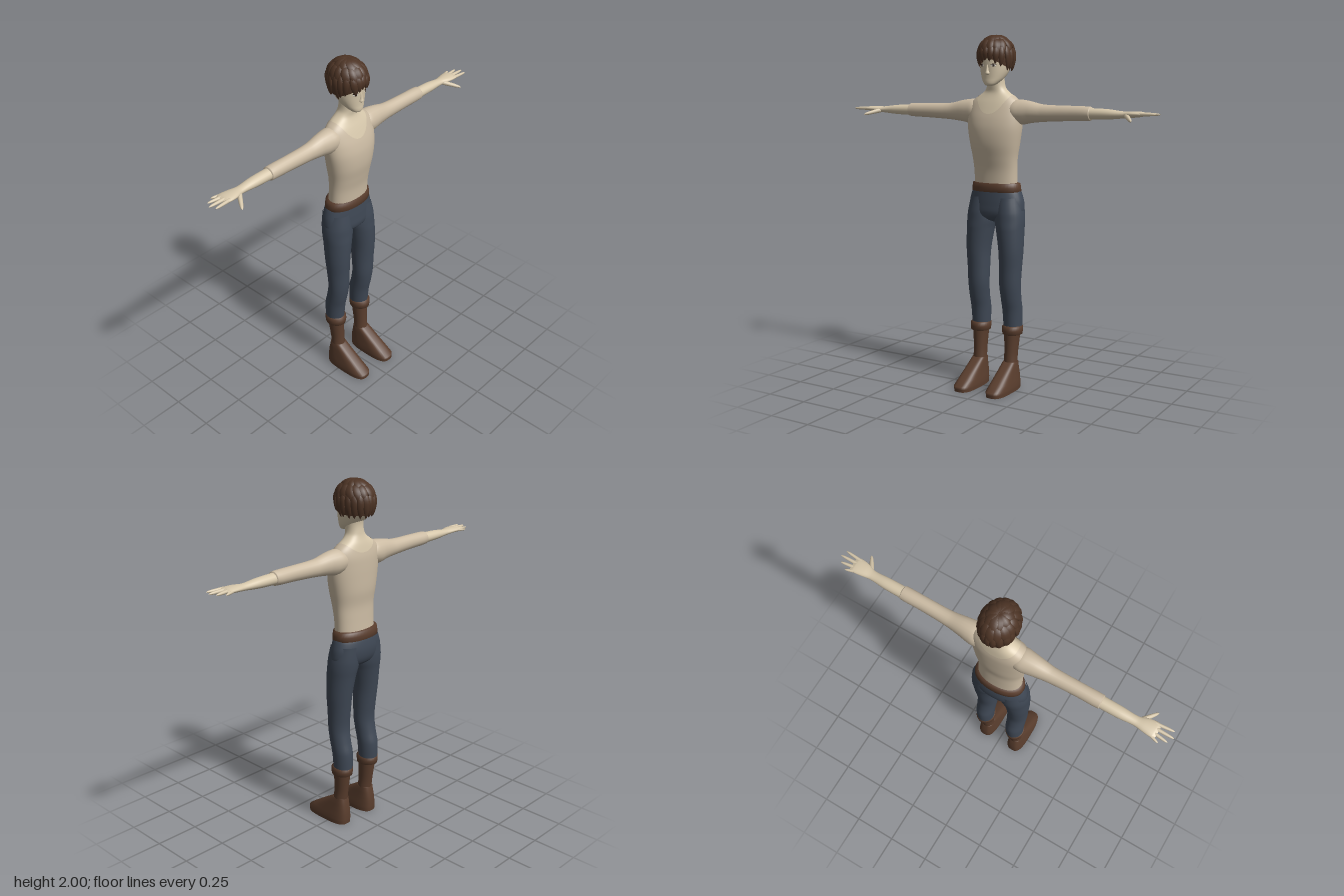
import * as THREE from 'three';

const paint = (name, color, side = THREE.FrontSide) => {
  const m = new THREE.MeshStandardMaterial({ color, side });
  m.name = name;
  return m;
};

// Grid surface, closed around u; fn(angle, v) returns [x, y, z]
function grid(fn, nu, nv, flip = false) {
  const pos = [], idx = [];
  for (let j = 0; j <= nv; j++)
    for (let i = 0; i < nu; i++) pos.push(...fn((i / nu) * Math.PI * 2, j / nv));
  for (let j = 0; j < nv; j++)
    for (let i = 0; i < nu; i++) {
      const a = j * nu + i, b = j * nu + ((i + 1) % nu), c = a + nu, d = b + nu;
      if (flip) idx.push(a, b, c, b, d, c);
      else idx.push(a, c, b, b, c, d);
    }
  const g = new THREE.BufferGeometry();
  g.setAttribute('position', new THREE.Float32BufferAttribute(pos, 3));
  g.setIndex(idx);
  g.computeVertexNormals();
  return g;
}

// Smooth (or straight) interpolation of rows keyed by their first column
function sample(rows, key, straight = false) {
  let i = 0;
  while (i < rows.length - 2 && key > rows[i + 1][0]) i++;
  const A = rows[i], B = rows[i + 1], h = B[0] - A[0];
  const t = Math.min(1, Math.max(0, (key - A[0]) / h));
  const P = rows[Math.max(0, i - 1)], N = rows[Math.min(rows.length - 1, i + 2)];
  return A.map((a, k) => {
    if (straight || k === 0) return a + (B[k] - a) * t;
    const m0 = ((B[k] - P[k]) / (B[0] - P[0])) * h, m1 = ((N[k] - a) / (N[0] - A[0])) * h;
    const t2 = t * t, t3 = t2 * t;
    return (2 * t3 - 3 * t2 + 1) * a + (t3 - 2 * t2 + t) * m0 + (3 * t2 - 2 * t3) * B[k] + (t3 - t2) * m1;
  });
}

const bend = (c, e) => Math.sign(c) * Math.abs(c) ** (2 / e);
// Row: height, centre x, centre z, half width, half depth
const ringPoint = ([y, cx, cz, rx, rz], u, e = 2, inset = 0) =>
  [cx + bend(Math.cos(u), e) * (rx - inset), y, cz + bend(Math.sin(u), e) * (rz - inset)];

const keyAt = (rows, v) => {
  const f = v * (rows.length - 1), i = Math.min(rows.length - 2, Math.floor(f));
  return rows[i][0] + (rows[i + 1][0] - rows[i][0]) * (f - i);
};
const loft = (rows, { e = 2, n = 28, straight = false, steps = 4 } = {}) =>
  grid((u, v) => ringPoint(sample(rows, keyAt(rows, v), straight), u, e), n, (rows.length - 1) * steps);

// Row: x, centre y, centre z, half height, half depth; s mirrors to the other side
const armLoft = (rows, s) => grid((u, v) => {
  const [x, y, z, ry, rz] = sample(rows, keyAt(rows, v));
  return [s * x, y + Math.cos(u) * ry, z - Math.sin(u) * rz];
}, 20, (rows.length - 1) * 4, s < 0);

function finger(from, to, r, s) {
  const a = new THREE.Vector3(...from), d = new THREE.Vector3(...to).sub(a);
  const w = d.clone().normalize(), p = new THREE.Vector3(0, 1, 0).cross(w).normalize();
  const q = w.clone().cross(p);
  return grid((u, v) => {
    const k = r * (1 - 0.35 * v) * Math.sqrt(1.0001 - v ** 6);
    const c = a.clone().addScaledVector(d, v).addScaledVector(p, k * Math.cos(u)).addScaledVector(q, k * Math.sin(u));
    return [s * c.x, c.y, c.z];
  }, 10, 10, s > 0);
}

const TORSO = [
  [1.16, 0, -0.06, 0.13, 0.074], [1.25, 0, -0.055, 0.131, 0.075], [1.32, 0, -0.048, 0.136, 0.081],
  [1.4, 0, -0.045, 0.15, 0.093], [1.48, 0, -0.045, 0.163, 0.095], [1.54, 0, -0.05, 0.167, 0.09],
  [1.59, 0, -0.057, 0.165, 0.081], [1.63, 0, -0.061, 0.15, 0.07], [1.66, 0, -0.064, 0.115, 0.06],
  [1.685, 0, -0.064, 0.078, 0.052], [1.71, 0, -0.06, 0.057, 0.05], [1.76, 0, -0.056, 0.05, 0.05],
  [1.82, 0, -0.065, 0.05, 0.052]];
const HEAD = [
  [1.717, 0, 0.012, 0.008, 0.006], [1.722, 0, 0.008, 0.026, 0.022], [1.735, 0, -0.003, 0.042, 0.038],
  [1.76, 0, -0.025, 0.061, 0.06], [1.8, 0, -0.045, 0.077, 0.082], [1.85, 0, -0.06, 0.086, 0.1],
  [1.91, 0, -0.06, 0.086, 0.1], [1.95, 0, -0.06, 0.065, 0.078], [1.975, 0, -0.06, 0.01, 0.01]];
const SLEEVE = [
  [0.08, 1.58, -0.06, 0.05, 0.055], [0.13, 1.578, -0.06, 0.066, 0.064], [0.17, 1.576, -0.06, 0.068, 0.06],
  [0.22, 1.577, -0.059, 0.06, 0.052], [0.3, 1.573, -0.058, 0.047, 0.042], [0.45, 1.575, -0.056, 0.041, 0.038],
  [0.578, 1.576, -0.056, 0.037, 0.038], [0.583, 1.576, -0.056, 0.03, 0.031]];
const FOREARM = [
  [0.56, 1.575, -0.056, 0.031, 0.033], [0.68, 1.575, -0.056, 0.027, 0.032], [0.77, 1.574, -0.054, 0.018, 0.027],
  [0.82, 1.577, -0.05, 0.017, 0.039], [0.87, 1.579, -0.05, 0.013, 0.044], [0.89, 1.579, -0.05, 0.006, 0.036]];
const HIPS = [
  [0.955, 0, -0.058, 0.01, 0.01], [0.97, 0, -0.058, 0.08, 0.05], [1.0, 0, -0.061, 0.158, 0.083],
  [1.06, 0, -0.068, 0.169, 0.092], [1.12, 0, -0.068, 0.155, 0.088], [1.16, 0, -0.064, 0.137, 0.08]];
const LEG = [
  [0.34, 0.104, -0.073, 0.052, 0.056], [0.45, 0.104, -0.068, 0.056, 0.062], [0.52, 0.104, -0.052, 0.058, 0.061],
  [0.6, 0.103, -0.04, 0.062, 0.06], [0.7, 0.104, -0.042, 0.065, 0.066], [0.8, 0.105, -0.045, 0.07, 0.075],
  [0.92, 0.096, -0.052, 0.08, 0.084], [0.97, 0.09, -0.058, 0.0865, 0.087], [1.02, 0.087, -0.062, 0.085, 0.088],
  [1.1, 0.08, -0.068, 0.076, 0.082]];
const BOOT_SHAFT = [
  [0.14, 0.102, -0.05, 0.04, 0.042], [0.2, 0.102, -0.056, 0.038, 0.043], [0.27, 0.103, -0.062, 0.042, 0.047],
  [0.33, 0.104, -0.066, 0.047, 0.051]];
const CUFF = [
  [0.312, 0.105, -0.066, 0.045, 0.05], [0.317, 0.105, -0.066, 0.056, 0.062], [0.34, 0.105, -0.066, 0.059, 0.065],
  [0.36, 0.105, -0.066, 0.058, 0.064], [0.366, 0.105, -0.066, 0.048, 0.052]];
const FOOT = [
  [0, 0.105, 0.037, 0.057, 0.145], [0.03, 0.105, 0.037, 0.058, 0.147], [0.085, 0.104, -0.003, 0.049, 0.104],
  [0.155, 0.102, -0.05, 0.039, 0.043], [0.16, 0.102, -0.05, 0.03, 0.035]];
const BELT = [
  [1.128, 0, -0.066, 0.138, 0.078], [1.132, 0, -0.066, 0.149, 0.088], [1.155, 0, -0.065, 0.148, 0.087],
  [1.178, 0, -0.064, 0.144, 0.085], [1.183, 0, -0.063, 0.128, 0.073]];

// Height of the scooped neckline at each angle round the torso
function neckline(u) {
  const base = Math.sin(u) > 0 ? 1.565 : 1.615;
  let lo = 1.5, hi = 1.69;
  for (let k = 0; k < 24; k++) {
    const y = (lo + hi) / 2, x = Math.abs(ringPoint(sample(TORSO, y), u, 2.2)[0]);
    if (y > base + (1.668 - base) * Math.min(1, x / 0.105) ** 2.2) hi = y;
    else lo = y;
  }
  return lo;
}

// Hair shell: angle a from the front, phi from the crown downwards
const hemAngle = (a) => Math.PI / 2 + 0.79 - 0.47 * Math.max(0, Math.cos(a)) ** 2;
function hairPoint(a, phi, k = 1) {
  const over = Math.max(0, phi - Math.PI / 2);
  const r = (over > 0 ? Math.cos(over * 0.6) : Math.sin(phi)) * k;
  const y = over > 0 ? -over : Math.cos(phi);
  return new THREE.Vector3(Math.sin(a) * r * 0.097, 1.885 + 0.107 * y * k, -0.06 + Math.cos(a) * r * 0.117);
}
function hairLock(a, p0, p1, width, twist) {
  return grid((u, v) => {
    const phi = p0 + (p1 - p0) * v, ang = a + twist * v;
    const full = Math.sin(Math.PI * (0.1 + 0.9 * v) ** 0.85) ** 0.7 || 0;
    const w = width * full, t = 0.011 * full;
    const out = new THREE.Vector3(Math.sin(ang) * Math.sin(phi), Math.max(0, Math.cos(phi)), Math.cos(ang) * Math.sin(phi)).normalize();
    return hairPoint(ang, phi).addScaledVector(out, Math.sin(u) * t - 0.003)
      .add(new THREE.Vector3(Math.cos(ang), 0, -Math.sin(ang)).multiplyScalar(Math.cos(u) * w)).toArray();
  }, 8, 10, true);
}

export function createModel() {
  const model = new THREE.Group();
  const skin = paint('skin', 0xd6c7ab), shirt = paint('shirt cloth', 0xcbbba3, THREE.DoubleSide);
  const trousers = paint('trouser cloth', 0x3f4855), leather = paint('leather', 0x593d2d);
  const hair = paint('hair', 0x4d3425, THREE.DoubleSide);
  const white = paint('eye white', 0xe6e0d6), dark = paint('eye dark', 0x2a1d17);
  const add = (name, geo, mat, parent = model) => {
    const m = new THREE.Mesh(geo, mat);
    m.name = name;
    parent.add(m);
    return m;
  };

  // Torso: shirt up to the neckline, skin above it
  add('shirtBody', grid((u, v) => ringPoint(sample(TORSO, 1.16 + (neckline(u) - 1.16) * v), u, 2.2), 64, 36), shirt);
  add('neckAndChest', grid((u, v) => {
    const y0 = neckline(u) - 0.015;
    return ringPoint(sample(TORSO, y0 + (1.82 - y0) * v), u, 2.2, 0.003);
  }, 64, 24), skin);

  // Head and face
  add('head', loft(HEAD, { e: 2.1, n: 36 }), skin);
  add('nose', loft([[1.778, 0, 0.036, 0.004, 0.004], [1.785, 0, 0.037, 0.013, 0.013],
    [1.8, 0, 0.036, 0.009, 0.011], [1.84, 0, 0.032, 0.005, 0.007]], { n: 12 }), skin);
  const plate = (name, x, y, w, h, lift, mat) => {
    const [, , cz, rx, rz] = sample(HEAD, y), c = x / rx;
    const m = add(name, new THREE.SphereGeometry(1, 14, 8), mat);
    m.scale.set(w, h, 0.003);
    m.position.set(x, y, cz + rz * Math.sqrt(1 - c * c) + lift);
    m.rotation.y = Math.atan2(c / rx, Math.sqrt(1 - c * c) / rz);
  };
  for (const s of [1, -1]) {
    plate('eyeWhite', s * 0.036, 1.829, 0.014, 0.006, 0.001, white);
    plate('iris', s * 0.036, 1.829, 0.006, 0.006, 0.003, dark);
    plate('upperLash', s * 0.037, 1.836, 0.017, 0.0025, 0.002, dark);
  }

  // Hair: shell with overlapping layers of tapered locks
  const hairGroup = new THREE.Group();
  hairGroup.name = 'hair';
  model.add(hairGroup);
  add('hairShell', grid((a, v) => hairPoint(a, 0.01 + v * (hemAngle(a) - 0.16), 0.98).toArray(), 40, 16), hair, hairGroup);
  const noise = (k) => { const q = Math.sin(k * 12.9898) * 43758.5453; return q - Math.floor(q); };
  [[10, 0.04, 1.05, 0.026], [15, 0.6, 1.6, 0.024], [20, 1.1, 0, 0.02]].forEach(([n, p0, p1, w], layer) => {
    for (let i = 0; i < n; i++) {
      const r = noise(i + layer * 31 + 1), a = ((i + layer * 0.5) / n) * Math.PI * 2;
      const end = (p1 || hemAngle(a) + 0.03) + (r - 0.5) * 0.16;
      add('hairLock', hairLock(a, p0, end, w * (0.9 + 0.3 * r), (r - 0.3) * 0.35), hair, hairGroup);
    }
  });

  // Waist
  add('belt', loft(BELT, { e: 2.2, n: 40, straight: true, steps: 1 }), leather);
  add('hips', loft(HIPS, { e: 2.1, n: 40 }), trousers);

  // Paired limbs
  for (const s of [1, -1]) {
    const side = s > 0 ? 'left' : 'right';
    const mirrored = (rows) => rows.map(([y, x, ...rest]) => [y, x * s, ...rest]);
    add(side + 'Sleeve', armLoft(SLEEVE, s), shirt);
    add(side + 'ForearmAndPalm', armLoft(FOREARM, s), skin);
    [[[0.85, 1.578, -0.08], [0.915, 1.575, -0.101], 0.0095], [[0.86, 1.579, -0.064], [0.955, 1.578, -0.076], 0.0105],
      [[0.86, 1.58, -0.042], [0.974, 1.58, -0.043], 0.011], [[0.86, 1.579, -0.019], [0.962, 1.58, -0.009], 0.0105],
      [[0.79, 1.569, -0.035], [0.85, 1.545, 0.05], 0.0135]]
      .forEach(([from, to, r], i) => add(side + (i < 4 ? 'Finger' : 'Thumb'), finger(from, to, r, s), skin));
    add(side + 'TrouserLeg', loft(mirrored(LEG)), trousers);
    add(side + 'BootShaft', loft(mirrored(BOOT_SHAFT)), leather);
    add(side + 'BootCuff', loft(mirrored(CUFF), { straight: true, steps: 1 }), leather);
    const foot = mirrored(FOOT);
    add(side + 'BootFoot', loft(foot, { e: 3, n: 36, straight: true, steps: 2 }), leather);
    const [y, cx, cz, rx, rz] = foot[0];
    add(side + 'BootSole', grid((u, v) => ringPoint([y, cx, cz, rx * v, rz * v], u, 3), 36, 1), leather);
  }
  return model;
}
